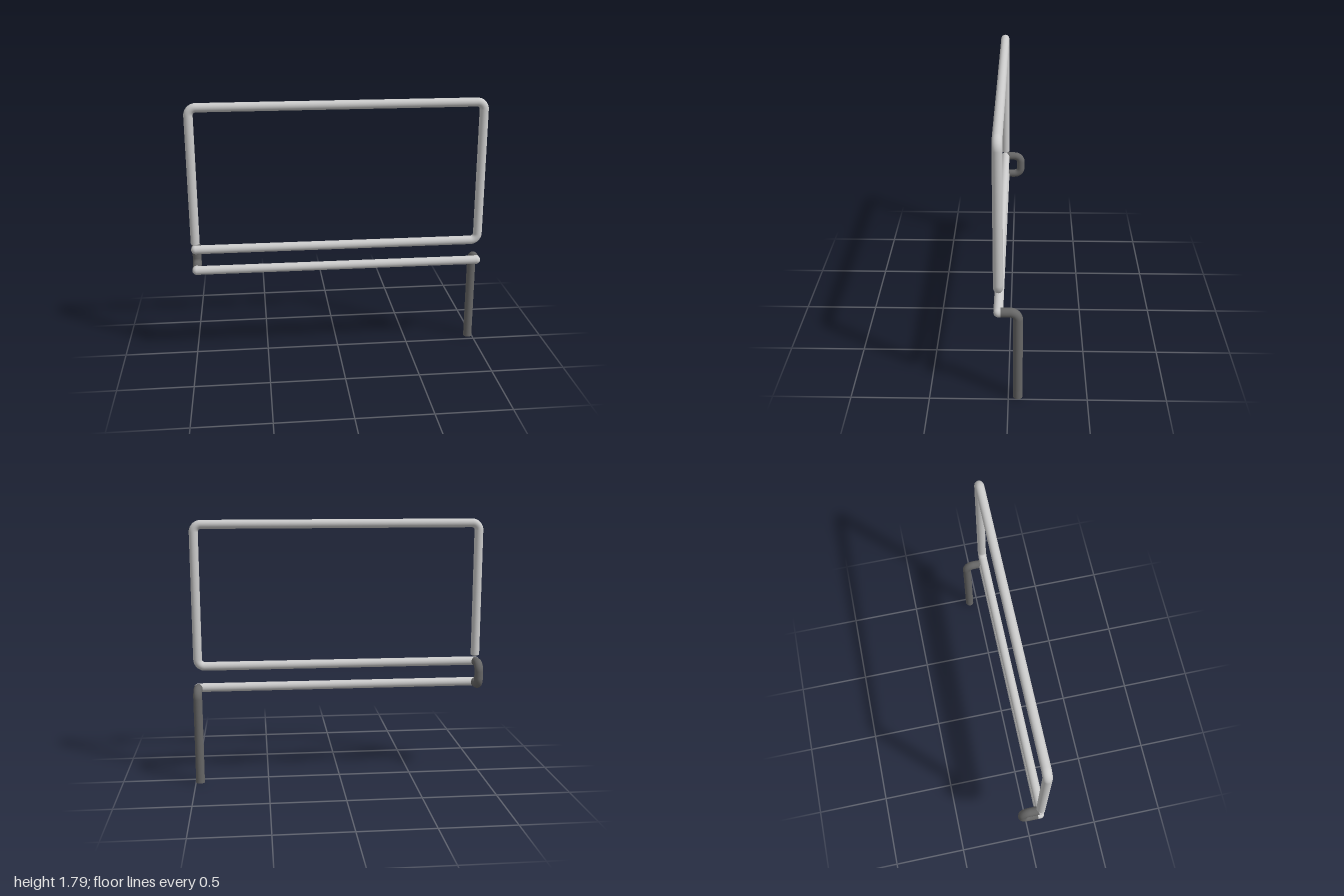
import * as THREE from 'three';
import { mergeGeometries } from 'three/addons/utils/BufferGeometryUtils.js';

const R = 0.03, BEND = 0.05, X = 0.97, Z = 0.06;
const TOP = 1.76, UPPER = 0.793, LOWER = 0.643;
const V = (x, y, z) => new THREE.Vector3(x, y, z);

// Round rod through the points, with a circular bend at every inner point
function rod(points) {
  const parts = [];
  const add = (curve, segments) => parts.push(new THREE.TubeGeometry(curve, segments, R, 24));
  let start = points[0];
  for (let i = 1; i < points.length; i++) {
    const p = points[i], next = points[i + 1];
    if (!next) {
      add(new THREE.LineCurve3(start, p), 1);
      break;
    }
    const u = p.clone().sub(points[i - 1]).normalize();
    const v = next.clone().sub(p).normalize();
    const a = p.clone().addScaledVector(u, -BEND);
    const b = p.clone().addScaledVector(v, BEND);
    const k = BEND * 0.5523;
    add(new THREE.LineCurve3(start, a), 1);
    add(new THREE.CubicBezierCurve3(a, a.clone().addScaledVector(u, k), b.clone().addScaledVector(v, -k), b), 10);
    start = b;
  }
  return mergeGeometries(parts);
}

// Ball that rounds off a tight corner or a rod end
function ball(p, scaleY = 1) {
  return new THREE.SphereGeometry(R, 24, 16).scale(1, scaleY, 1).translate(p.x, p.y, p.z);
}

export function createModel() {
  const group = new THREE.Group();
  const light = new THREE.MeshStandardMaterial({ color: 0xcccccc, side: THREE.DoubleSide });
  const dark = new THREE.MeshStandardMaterial({ color: 0x666666, side: THREE.DoubleSide });
  const add = (name, material, ...geometries) => {
    const mesh = new THREE.Mesh(mergeGeometries(geometries), material);
    mesh.name = name;
    group.add(mesh);
  };
  const seam = 0.045; // where the light rods meet the dark ones

  // Rectangular frame, open at its lower corner
  const freeEnd = V(-X, 0.84, Z), upperCorner = V(-X, UPPER, Z);
  add('frame', light,
    rod([freeEnd, V(-X, TOP, Z), V(X, TOP, Z), V(X, UPPER, Z), upperCorner]),
    ball(freeEnd, 0.4), ball(upperCorner),
    rod([upperCorner, V(-X, UPPER, seam)]));

  // Rear loop joining the frame to the lower rail
  add('connectingLoop', dark,
    rod([V(-X, UPPER, seam), V(-X, UPPER, -Z), V(-X, LOWER, -Z), V(-X, LOWER, seam)]));

  // Straight rail under the frame
  const left = V(X, LOWER, Z), right = V(-X, LOWER, Z);
  add('lowerRail', light,
    rod([right, left]), ball(left), ball(right),
    rod([left, V(X, LOWER, seam)]), rod([right, V(-X, LOWER, seam)]));

  // Single leg with its flat foot
  add('leg', dark,
    rod([V(X, LOWER, seam), V(X, LOWER, -Z), V(X, 0, -Z)]),
    new THREE.CircleGeometry(R, 24).rotateX(Math.PI / 2).translate(X, 0, -Z));

  return group;
}
